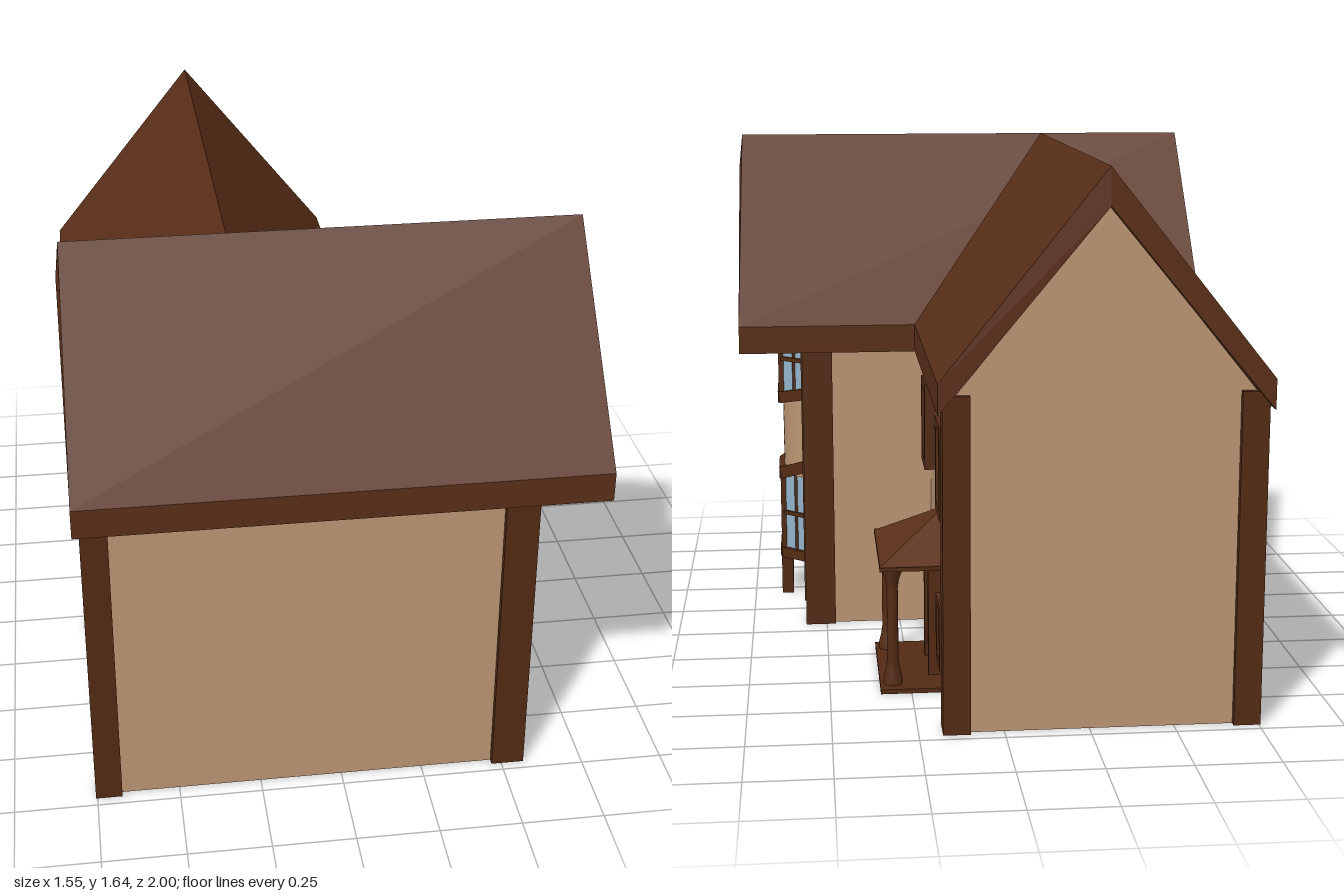
import * as THREE from 'three';

const mat = (color, side = THREE.FrontSide) => new THREE.MeshStandardMaterial({ color, side });
const WALL = mat(0xbc9674, THREE.DoubleSide), ROOF = mat(0x5a2f18, THREE.DoubleSide);
const TRIM = mat(0x532b14), GLASS = mat(0x93b3c8);

export function createModel() {
  const root = new THREE.Group();

  const group = (name) => {
    const g = new THREE.Group();
    g.name = name;
    root.add(g);
    return g;
  };
  const add = (parent, name, geo, material) => {
    const m = new THREE.Mesh(geo, material);
    m.name = name;
    parent.add(m);
    return m;
  };
  // Box given by its lower and upper limits
  const box = (parent, name, x0, x1, y0, y1, z0, z1, material = TRIM) => {
    const g = new THREE.BoxGeometry(x1 - x0, y1 - y0, z1 - z0);
    g.translate((x0 + x1) / 2, (y0 + y1) / 2, (z0 + z1) / 2);
    return add(parent, name, g, material);
  };
  // Square bar between two points
  const bar = (parent, name, a, b, w, h) => {
    const m = add(parent, name, new THREE.BoxGeometry(w, h, a.distanceTo(b)), TRIM);
    m.position.copy(a).lerp(b, 0.5);
    m.lookAt(b);
    return m;
  };
  const extrude = (pts, depth) => new THREE.ExtrudeGeometry(
    new THREE.Shape(pts.map((p) => new THREE.Vector2(...p))), { depth, bevelEnabled: false });

  // Gabled bodies
  const house = [[-0.43, 0], [0.43, 0], [0.43, 1], [0, 1.53], [-0.43, 1]];
  const gable = [[-0.43, 1], [0.43, 1], [0, 1.53]];
  const walls = group('walls');
  const alongX = (geo, x) => geo.rotateY(Math.PI / 2).translate(x, 0, 0.52);
  add(walls, 'crossWingWalls', alongX(extrude(house, 1.285), -0.735), WALL);
  add(walls, 'overhangingGable', alongX(extrude(gable, 0.18), 0.54), WALL);
  add(walls, 'mainWingWalls', extrude(house, 1.05).translate(-0.29, 0, -0.95), WALL);

  // Roofs: chevron profile with upright eaves, ridge drawn in slightly at the ends
  const chevron = [[0.48, 0.95], [0.48, 1.04], [0, 1.64], [-0.48, 1.04], [-0.48, 0.95], [0, 1.53]];
  const roofGeometry = (depth, edit) => {
    const g = extrude(chevron, depth), p = g.attributes.position;
    for (let i = 0; i < p.count; i++) p.setZ(i, edit(p.getX(i), p.getY(i), p.getZ(i)));
    g.computeVertexNormals();
    return g;
  };
  const roofs = group('roofs');
  add(roofs, 'crossWingRoof', alongX(roofGeometry(1.55, (u, y, z) =>
    (y > 1.6 ? 0.775 + (z - 0.775) * 0.985 : z)), -0.775), ROOF);
  // The main roof is mitred along its valleys
  add(roofs, 'mainWingRoof', roofGeometry(1, (u, y, z) =>
    (z > 0.5 ? 0.52 - Math.abs(u) : y > 1.6 ? -0.985 : -0.995)).translate(-0.285, 0, 0), ROOF);

  // Corner posts: x0, x1, z0, z1
  const posts = group('cornerPosts');
  for (const [x0, x1, z0, z1] of [
    [-0.755, -0.675, 0.89, 0.97], [0.47, 0.57, 0.89, 0.97], [0.47, 0.57, 0.07, 0.15],
    [-0.755, -0.675, 0.03, 0.11], [-0.755, -0.675, -0.97, -0.89], [0.1, 0.18, -0.97, -0.89],
  ]) box(posts, 'cornerPost', x0, x1, 0, 1, z0, z1);

  // Framed windows facing +x
  const windowAt = (name, x, z0, z1, y0, y1, cols, rows) => {
    const g = group(name), f = 0.026;
    box(g, 'pane', x - 0.01, x + 0.006, y0 + 0.01, y1 - 0.01, z0 + 0.01, z1 - 0.01, GLASS);
    for (const z of [z0, z1 - f]) box(g, 'frameSide', x - 0.01, x + 0.025, y0, y1, z, z + f);
    for (const y of [y0, y1 - f]) box(g, 'frameRail', x - 0.01, x + 0.025, y, y + f, z0 + f, z1 - f);
    for (let i = 1; i < cols; i++) {
      const z = z0 + f + (z1 - z0 - 2 * f) * i / cols;
      box(g, 'glazingBar', x, x + 0.013, y0 + f, y1 - f, z - 0.004, z + 0.004);
    }
    for (let i = 1; i < rows; i++) {
      const y = y0 + f + (y1 - y0 - 2 * f) * i / rows;
      box(g, 'glazingBar', x, x + 0.013, y - 0.004, y + 0.004, z0 + f, z1 - f);
    }
  };
  windowAt('upperWindowNear', 0.155, -0.21, -0.045, 0.605, 0.885, 3, 4);
  windowAt('upperWindowFar', 0.155, -0.84, -0.675, 0.605, 0.885, 3, 4);
  windowAt('lowerWindow', 0.155, -0.83, -0.68, 0.145, 0.34, 2, 2);
  windowAt('gableWindow', 0.72, 0.46, 0.61, 1.1, 1.29, 2, 2);

  // Three-sided bay, two storeys, under the overhanging gable
  const bay = group('bayWindow');
  const plan = [[0.555, 0.69], [0.645, 0.61], [0.645, 0.45], [0.555, 0.37]];
  const at = (i, y) => new THREE.Vector3(plan[i][0], y, plan[i][1]);
  for (const z of [0.68, 0.335]) box(bay, 'bayPost', 0.54, 0.575, 0, 1, z, z + 0.05);
  for (const [y0, y1] of [[0.14, 0.45], [0.73, 0.99]]) {
    const g = extrude(plan.map(([x, z]) => [x - 0.004, -z]), y1 - y0);
    add(bay, 'bayGlass', g.rotateX(-Math.PI / 2).translate(0, y0, 0), GLASS);
    // Corner mullions and lighter upright bars
    for (const i of [1, 2]) bar(bay, 'mullion', at(i, y0), at(i, y1), 0.018, 0.018);
    for (const [s, t] of [[0, 0.5], [1, 0.33], [1, 0.67], [2, 0.5]])
      bar(bay, 'glazingBar', at(s, y0).lerp(at(s + 1, y0), t), at(s, y1).lerp(at(s + 1, y1), t), 0.01, 0.01);
  }
  // Rails: height at the wall, height at the front, bar height
  for (const [side, front, h] of [[0.985, 0.985, 0.03], [0.86, 0.86, 0.014], [0.745, 0.72, 0.04],
    [0.485, 0.445, 0.042], [0.3, 0.3, 0.014], [0.152, 0.152, 0.035]]) {
    const ys = [side, front, front, side], w = h > 0.02 ? 0.026 : 0.014;
    for (let i = 0; i < 3; i++) bar(bay, 'bayRail', at(i, ys[i]), at(i + 1, ys[i + 1]), w, h);
  }
  // Curved panel between the storeys, and the legs below
  const curve = new THREE.CylinderGeometry(1, 1, 0.31, 24, 1, true, 0, Math.PI);
  add(bay, 'curvedPanel', curve.scale(0.09, 1, 0.15).translate(0.55, 0.595, 0.53), WALL);
  for (const z of [0.61, 0.45]) box(bay, 'bayLeg', 0.615, 0.655, 0, 0.14, z - 0.014, z + 0.014);

  // Porch: step, turned columns and hipped roof
  const porch = group('porch');
  box(porch, 'step', 0.15, 0.345, 0, 0.014, -0.62, -0.175);
  box(porch, 'roofSlab', 0.14, 0.345, 0.39, 0.403, -0.62, -0.175);
  const hip = new THREE.ConeGeometry(0.215 * Math.SQRT2, 0.135, 4).toNonIndexed();
  hip.rotateY(Math.PI / 4).computeVertexNormals();
  add(porch, 'hippedRoof', hip.translate(0.13, 0.468, -0.397), ROOF);
  const profile = [[0.03, 0.014], [0.03, 0.03], [0.022, 0.06], [0.018, 0.09], [0.017, 0.32],
    [0.021, 0.35], [0.029, 0.37], [0.029, 0.392]].map((p) => new THREE.Vector2(...p));
  for (const z of [-0.225, -0.56])
    add(porch, 'column', new THREE.LatheGeometry(profile, 20), TRIM).position.set(0.305, 0, z);

  // Plank door in a frame
  const door = group('door');
  for (const z of [-0.5, -0.32]) box(door, 'doorJamb', 0.15, 0.19, 0.014, 0.38, z, z + 0.038);
  box(door, 'doorHead', 0.15, 0.19, 0.34, 0.38, -0.462, -0.32);
  box(door, 'doorBack', 0.15, 0.163, 0.014, 0.34, -0.462, -0.32);
  for (let i = 0; i < 4; i++) {
    const z = -0.46 + i * 0.035;
    box(door, 'doorPlank', 0.15, 0.172, 0.016, 0.336, z, z + 0.03);
  }
  return root;
}
